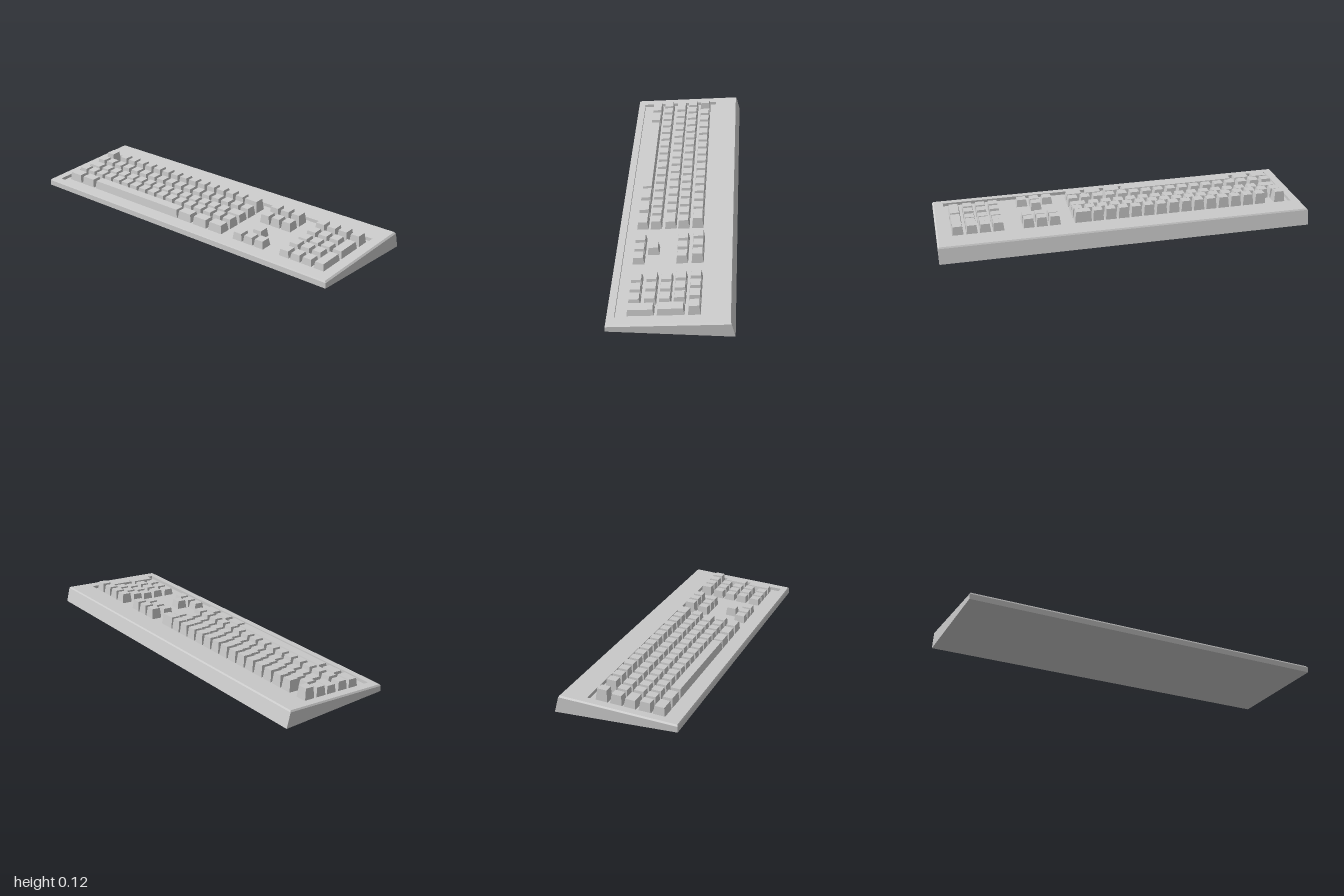
import * as THREE from 'three';

const material = new THREE.MeshStandardMaterial({ color: 0xcccccc, flatShading: true });

// Height of the sloping top surface of the case
const slope = (x) => 0.0636 + 0.084 * x;

// Stacks rectangular rings { x0, x1, z0, z1, y(x) } into a closed solid
function loft(rings) {
  const loops = rings.map(({ x0, x1, z0, z1, y }) =>
    [[x0, z1], [x1, z1], [x1, z0], [x0, z0]].map(([x, z]) => [x, y(x), z]));
  const pos = [];
  const quad = (a, b, c, d) => pos.push(...a, ...b, ...c, ...a, ...c, ...d);
  for (let r = 0; r < loops.length - 1; r++) {
    const lo = loops[r], hi = loops[r + 1];
    for (let i = 0; i < 4; i++) {
      const j = (i + 1) % 4;
      quad(lo[i], lo[j], hi[j], hi[i]);
    }
  }
  const first = loops[0], last = loops[loops.length - 1];
  quad(first[3], first[2], first[1], first[0]);
  quad(...last);
  const geo = new THREE.BufferGeometry();
  geo.setAttribute('position', new THREE.Float32BufferAttribute(pos, 3));
  geo.computeVertexNormals();
  return geo;
}

const DEPTH = 0.018; // depth of the key well

// Tapered keycap rising from the floor of the well
function keycap(x0, x1, z0, z1, height) {
  return new THREE.Mesh(loft([
    { x0, x1, z0, z1, y: (x) => slope(x) - DEPTH },
    { x0: x0 + 0.004, x1: x1 - 0.008, z0: z0 + 0.006, z1: z1 - 0.006, y: (x) => slope(x) + height },
  ]), material);
}

export function createModel() {
  const model = new THREE.Group();
  model.name = 'keyboard';

  // Wedge case with a bevelled upper edge and a sunken key well
  const well = { x0: -0.275, x1: 0.165, z0: -0.95, z1: 0.942 };
  const body = new THREE.Mesh(loft([
    { x0: -0.315, x1: 0.315, z0: -1, z1: 1, y: () => 0 },
    { x0: -0.315, x1: 0.294, z0: -1, z1: 1, y: (x) => slope(x) - 0.008 },
    { x0: -0.311, x1: 0.289, z0: -0.994, z1: 0.992, y: slope },
    { ...well, y: slope },
    { ...well, y: (x) => slope(x) - DEPTH },
  ]), material);
  body.name = 'case';
  model.add(body);

  const group = (name) => {
    const g = new THREE.Group();
    g.name = name;
    model.add(g);
    return g;
  };
  const add = (parent, name, ...args) => {
    const key = keycap(...args);
    key.name = name;
    parent.add(key);
  };

  const SIZE = 0.061, PITCH = 0.0704, START = -0.926, WIDE = 0.092;
  const run = (start, count) =>
    Array.from({ length: count }, (_, i) => [start + i * PITCH, start + i * PITCH + SIZE]);
  const end = [0.168, 0.168 + WIDE];

  // Main rows from the low edge to the high edge: x, height, spans in z
  const rows = [
    { x: -0.222, h: 0.027, spans: [[START, START + WIDE], [-0.82, -0.726], [-0.71, -0.059],
      [-0.052, 0.042], [0.058, 0.152], end] },
    { x: -0.15, h: 0.0325, spans: run(START, 17) },
    { x: -0.073, h: 0.026, spans: [[START, START + WIDE], ...run(-0.82, 14), end] },
    { x: -0.003, h: 0.034, spans: run(START, 17) },
    { x: 0.072, h: 0.045, spans: [[START, START + SIZE], ...run(-0.814, 14), end] },
  ];
  const main = group('mainKeys');
  for (const { x, h, spans } of rows) {
    for (const [z0, z1] of spans) {
      add(main, z1 - z0 > 0.3 ? 'spaceBar' : 'key', x, x + SIZE, z0, z1, h);
    }
  }

  // Arrow cluster and the block of six keys beside it
  const arrows = group('arrowKeys');
  const navigation = group('navigationKeys');
  const navZ = run(0.339, 3);
  for (const [z0, z1] of navZ) {
    add(arrows, 'arrowKey', -0.222, -0.16, z0, z1, 0.022);
    add(navigation, 'navigationKey', 0.003, 0.064, z0, z1, 0.029);
    add(navigation, 'navigationKey', 0.082, 0.144, z0, z1, 0.04);
  }
  add(arrows, 'arrowKey', -0.149, -0.088, ...navZ[1], 0.027);

  // Number pad: three regular columns, then one with two long keys
  const pad = group('numberPad');
  const padX = [-0.218, -0.14, -0.066, 0.006, 0.082];
  const padH = [0.017, 0.021, 0.018, 0.024, 0.036];
  for (const [z0, z1] of run(0.641, 3)) {
    padX.forEach((x, i) => add(pad, 'padKey', x, x + 0.062, z0, z1, padH[i]));
  }
  add(pad, 'longPadKey', -0.218, -0.083, 0.857, 0.918, 0.017);
  add(pad, 'longPadKey', -0.07, 0.065, 0.857, 0.918, 0.02);
  add(pad, 'padKey', 0.082, 0.144, 0.857, 0.918, 0.036);

  return model;
}
